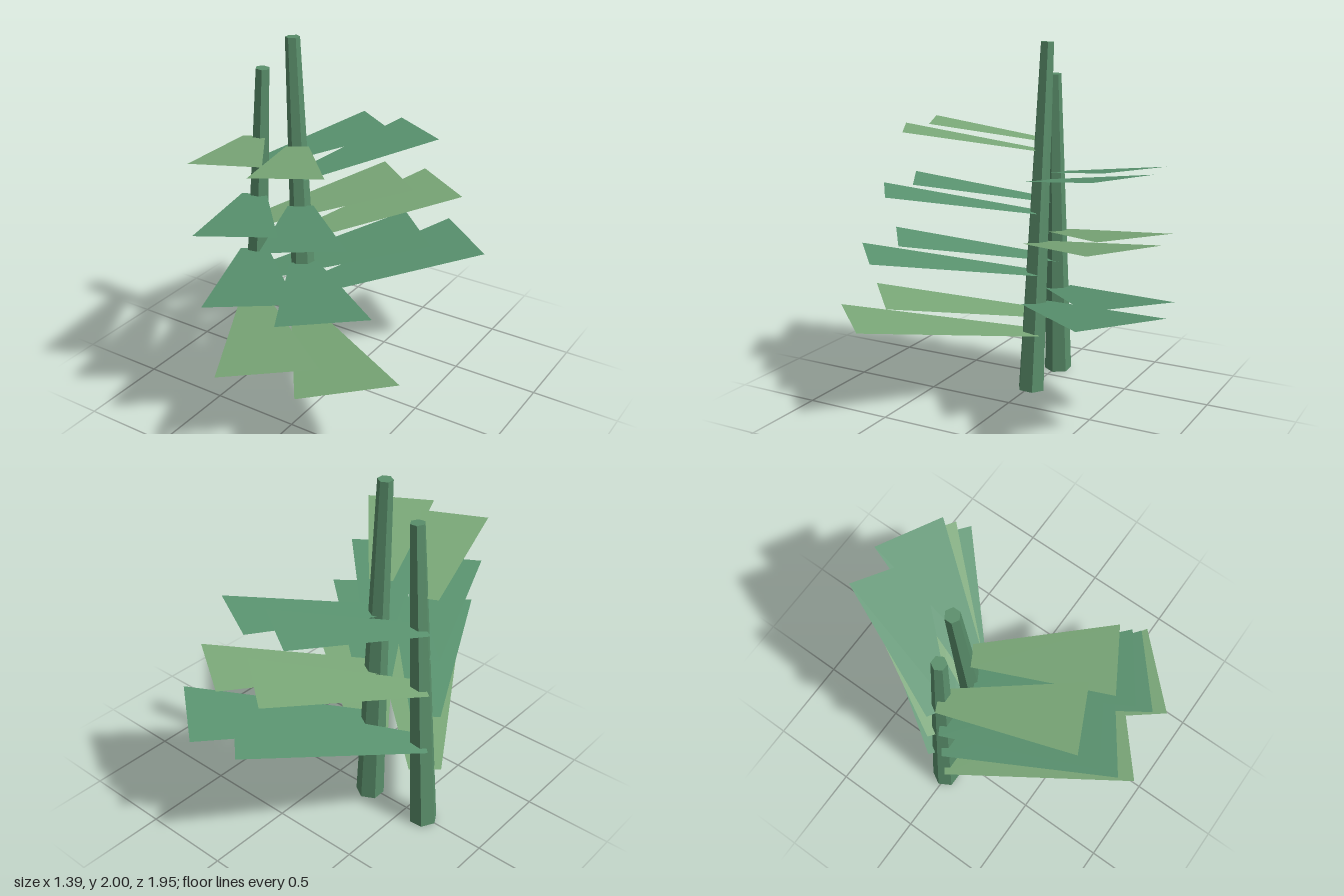
import * as THREE from 'three';

const material = (color, side = THREE.FrontSide) =>
  new THREE.MeshStandardMaterial({ color, flatShading: true, side });

// Tapered six-sided stem leaning from one point to another
function makeStem(from, to, spin, mat) {
  const axis = to.clone().sub(from);
  const geometry = new THREE.CylinderGeometry(0.04, 0.08, axis.length(), 6);
  geometry.rotateY(spin);
  const stem = new THREE.Mesh(geometry, mat);
  stem.position.copy(from).add(to).multiplyScalar(0.5);
  stem.quaternion.setFromUnitVectors(new THREE.Vector3(0, 1, 0), axis.normalize());
  return stem;
}

// Flat blade along +x, widening from its root to its tip and rising slightly
function makeLeaf(length, tipWidth, mat) {
  const r = tipWidth / 6, t = tipWidth / 2, rise = length * 0.176;
  const geometry = new THREE.BufferGeometry();
  geometry.setAttribute('position', new THREE.Float32BufferAttribute(
    [0, 0, r, length, rise, t, length, rise, -t, 0, 0, -r], 3));
  geometry.setIndex([0, 1, 2, 0, 2, 3]);
  geometry.computeVertexNormals();
  return new THREE.Mesh(geometry, mat);
}

export function createModel() {
  const model = new THREE.Group();
  const stemMat = material(0x5a8f6b);
  const darkLeaf = material(0x5a9470, THREE.DoubleSide);
  const lightLeaf = material(0x7aa878, THREE.DoubleSide);

  // Stem ends, leaf root line (x = x0 + lean * y) and yaw of front and back leaves
  const plants = [
    { name: 'right', from: [-0.625, 0.004, -0.01], to: [-0.51, 1.81, -0.02], spin: Math.PI / 6,
      x0: -0.635, lean: 0.042, z0: -0.01, zLean: 0, front: 49.4, back: 44.6 },
    { name: 'left', from: [-0.245, 0.003, -0.018], to: [-0.338, 2, -0.06], spin: 0,
      x0: -0.25, lean: -0.025, z0: -0.036, zLean: 0.017, front: 44.6, back: 49.1 },
  ];

  for (const p of plants) {
    const stem = makeStem(new THREE.Vector3(...p.from), new THREE.Vector3(...p.to), p.spin, stemMat);
    stem.name = p.name + 'Stem';
    model.add(stem);

    // Seven tiers, alternating front and back, shrinking upwards
    for (let i = 0; i < 7; i++) {
      const isFront = i % 2 === 0;
      const leaf = makeLeaf(1.07 - 0.058 * i, 0.53 - 0.0265 * i, i % 3 === 0 ? lightLeaf : darkLeaf);
      const y = 0.347 + 0.177 * i;
      const yaw = THREE.MathUtils.degToRad((isFront ? p.front : p.back) + 2.5 * i);
      leaf.position.set(p.x0 + p.lean * y, y, p.z0 + p.zLean * y);
      leaf.rotation.y = isFront ? -yaw : yaw;
      leaf.name = p.name + (isFront ? 'FrontLeaf' : 'BackLeaf') + (i + 1);
      model.add(leaf);
    }
  }
  return model;
}
